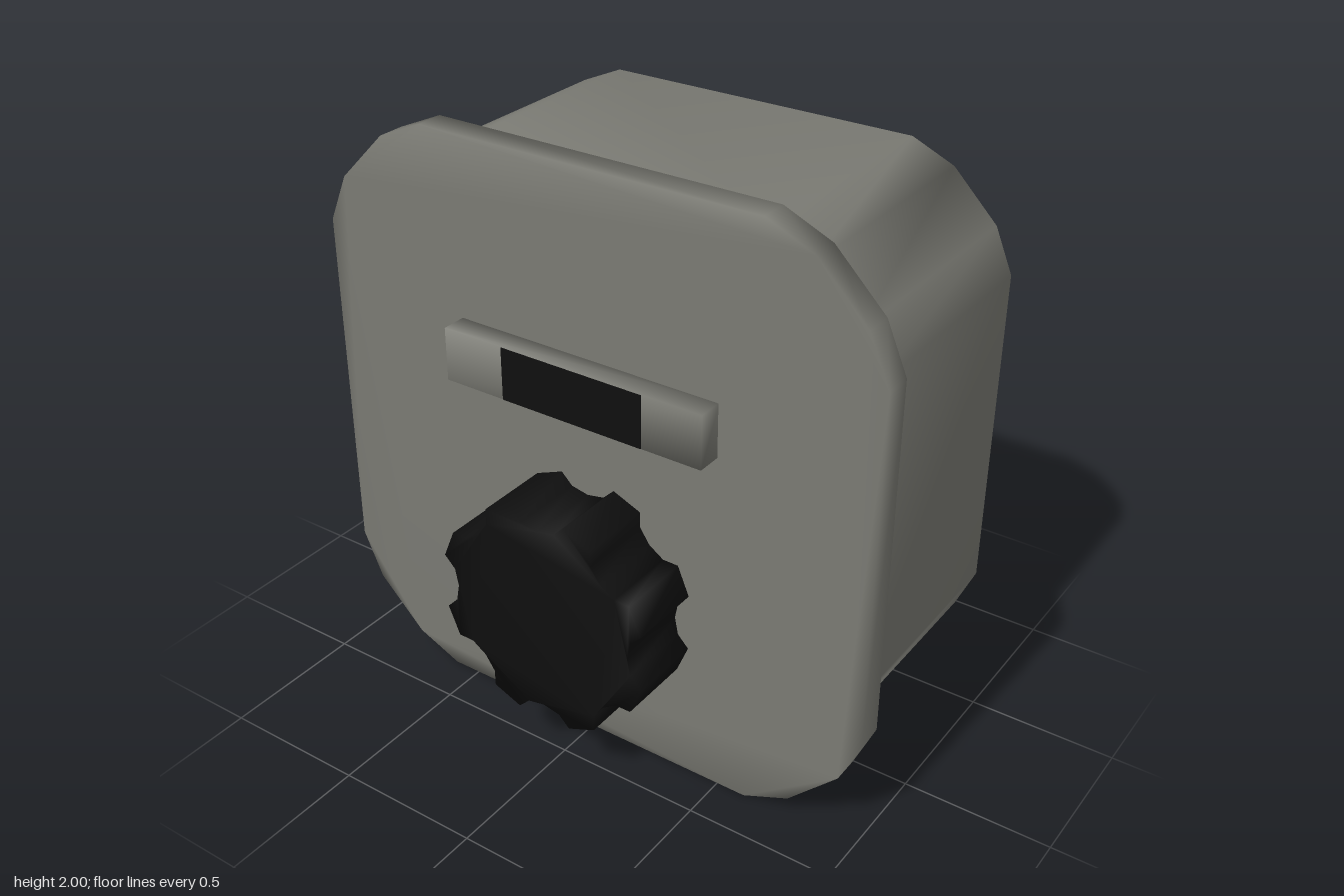
import * as THREE from 'three';
import { mergeVertices } from 'three/addons/utils/BufferGeometryUtils.js';

const mat = (name, color) => {
  const m = new THREE.MeshStandardMaterial({ color });
  m.name = name;
  return m;
};

// Share corner vertices so normals blend softly across edges
function soften(geometry) {
  geometry.deleteAttribute('normal');
  geometry.deleteAttribute('uv');
  geometry.clearGroups();
  const merged = mergeVertices(geometry, 1e-4);
  merged.computeVertexNormals();
  return merged;
}

// Extrude an outline from zBack to zFront
function slab(points, zBack, zFront) {
  const g = new THREE.ExtrudeGeometry(new THREE.Shape(points), {
    depth: zFront - zBack, bevelEnabled: false,
  });
  g.translate(0, 0, zBack);
  return soften(g);
}

// Square with three-sided rounded corners, centred on the origin
function roundedSquare(sx, sy) {
  const corner = [[1, 0.6], [0.93, 0.76], [0.76, 0.93], [0.6, 1]];
  const pts = [];
  for (let q = 0; q < 4; q++) {
    for (const [x, y] of corner) {
      const p = new THREE.Vector2(x, y).rotateAround(new THREE.Vector2(), q * Math.PI / 2);
      pts.push(new THREE.Vector2(p.x * sx, p.y * sy));
    }
  }
  return pts;
}

// Knob outline: eight lobes separated by scooped notches
function knobOutline() {
  const notch = [[-14.7, 0.393], [-10, 0.347], [0, 0.33], [10, 0.347], [14.7, 0.393]];
  const pts = [];
  for (let i = 0; i < 8; i++) {
    for (const [deg, r] of notch) {
      const a = THREE.MathUtils.degToRad(i * 45 + deg);
      pts.push(new THREE.Vector2(r * Math.cos(a), r * Math.sin(a)));
    }
  }
  return pts;
}

export function createModel() {
  const group = new THREE.Group();
  const grey = mat('warm grey', 0x7a7a73);
  const black = mat('black', 0x0f0f0f);

  const add = (name, geometry, material, x, y, z) => {
    const mesh = new THREE.Mesh(geometry, material);
    mesh.name = name;
    mesh.position.set(x, y, z);
    group.add(mesh);
  };

  // Housing and the wider face plate in front of it
  add('housing', slab(roundedSquare(0.916, 0.92), -0.6, 0.25), grey, 0, 1, 0);
  add('facePlate', slab(roundedSquare(1, 1), 0.25, 0.345), grey, 0, 1, 0);

  // Raised display bar with a dark window
  add('displayBar', soften(new THREE.BoxGeometry(0.944, 0.18, 0.09)), grey, 0, 1.308, 0.385);
  add('displayWindow', new THREE.BoxGeometry(0.514, 0.178, 0.006), black, 0.007, 1.308, 0.43);

  // Turning knob
  add('knob', slab(knobOutline(), 0.34, 0.6), black, 0, 0.59, 0);

  return group;
}
